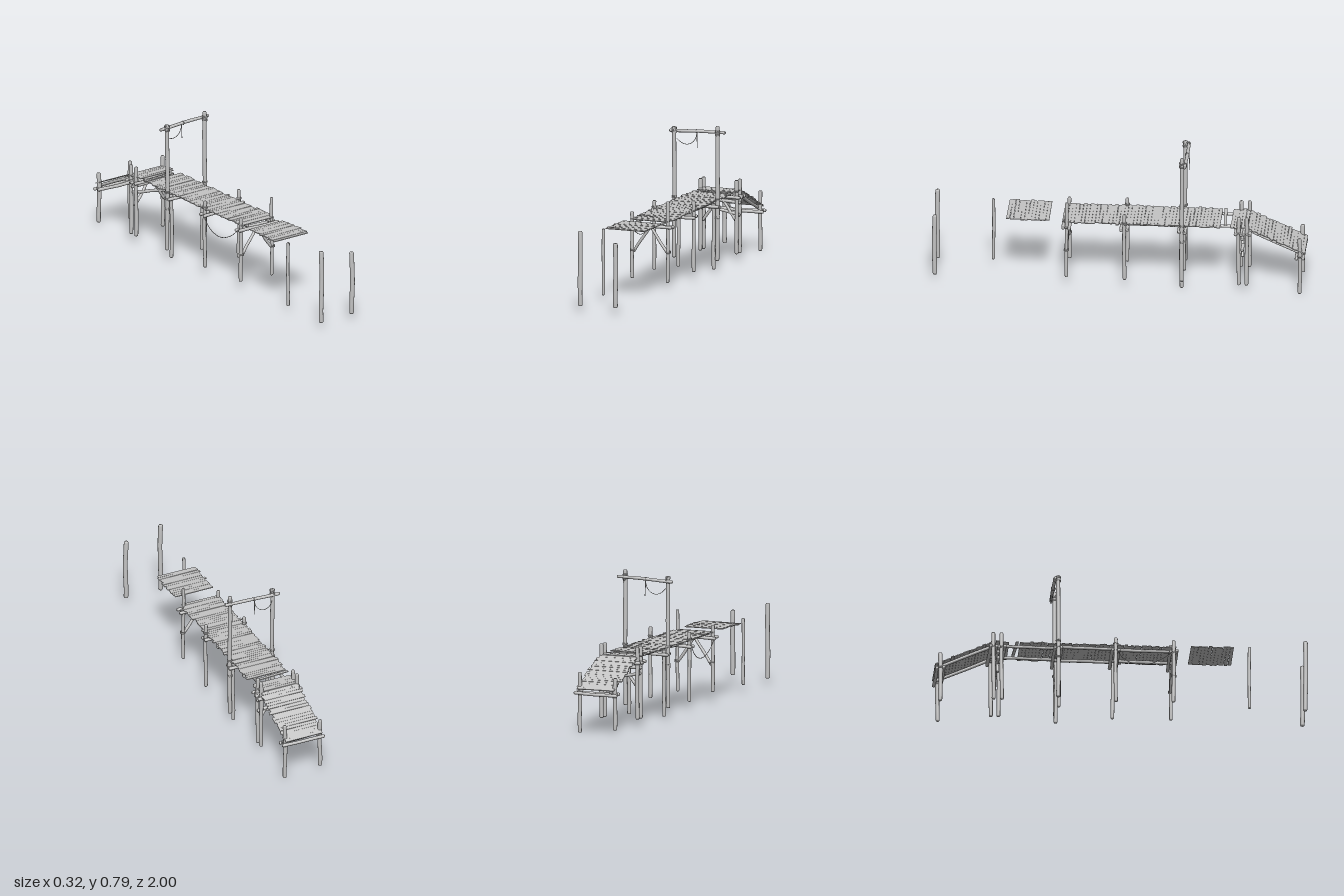
import * as THREE from 'three';

const V = (x, y, z) => new THREE.Vector3(x, y, z);

export function createModel() {
  const root = new THREE.Group();
  root.name = 'ruinedJetty';
  const wood = new THREE.MeshStandardMaterial({ color: 0xc4c4c4 });
  wood.name = 'weathered grey';

  let seed = 7;
  const rnd = (a = -1, b = 1) => {
    seed = (seed * 16807) % 2147483647;
    return a + (b - a) * (seed / 2147483647);
  };

  const add = (name, geometry, parent = root) => {
    const mesh = new THREE.Mesh(geometry, wood);
    mesh.name = name;
    parent.add(mesh);
    return mesh;
  };
  const group = (name) => {
    const g = new THREE.Group();
    g.name = name;
    root.add(g);
    return g;
  };

  // Slightly crooked log with rounded ends, running from a to b
  function log(name, a, b, r, parent) {
    const len = a.distanceTo(b);
    const pts = [[0, 0], [r * 0.75, 0], [r, r * 0.5]];
    for (let i = 1; i < 6; i++) pts.push([r * rnd(0.94, 1.06), (len * i) / 6]);
    pts.push([r, len - r * 0.5], [r * 0.75, len], [0, len]);
    const g = new THREE.LatheGeometry(pts.map((p) => new THREE.Vector2(p[0], p[1])), 12);
    const pos = g.attributes.position;
    const bend = r * 0.15, phase = rnd(0, 6);
    for (let i = 0; i < pos.count; i++) {
      const t = pos.getY(i) / len;
      pos.setX(i, pos.getX(i) + bend * Math.sin(t * 7 + phase));
      pos.setZ(i, pos.getZ(i) + bend * Math.cos(t * 5 + phase));
    }
    const mesh = add(name, g, parent);
    mesh.position.copy(a);
    mesh.quaternion.setFromUnitVectors(V(0, 1, 0), b.clone().sub(a).normalize());
    return mesh;
  }
  const post = (x, z, y0, y1, r, parent) => log('post', V(x, y0, z), V(x, y1, z), r, parent);

  // Rope wound three times round a post
  function lashing(x, y, z, r, parent) {
    for (let i = -1; i <= 1; i++) {
      const ring = add('lashing', new THREE.TorusGeometry(r, 0.002, 5, 14), parent);
      ring.position.set(x, y + i * 0.0036, z);
      ring.rotation.set(Math.PI / 2 + rnd() * 0.12, rnd() * 0.12, 0);
    }
  }
  function rope(name, points, r, parent) {
    add(name, new THREE.TubeGeometry(new THREE.CatmullRomCurve3(points), 28, r, 6), parent);
  }

  // Cross beams clamped on both sides of a pair of posts
  function clampBeams(z, y, half, parent, gap = 0.017) {
    for (const s of [-1, 1]) {
      log('crossBeam', V(-half, y + rnd() * 0.004, z + s * gap), V(half, y + rnd() * 0.004, z + s * gap), 0.009, parent);
    }
  }
  function braces(z, parent) {
    for (const s of [-1, 1]) log('brace', V(s * 0.1, 0.205, z), V(s * 0.004, 0.343, z), 0.008, parent);
  }

  // Lone posts beyond the broken end
  const lone = group('lonePosts');
  post(-0.105, 0.985, 0.035, 0.44, 0.0125, lone);
  post(0.1, 0.985, 0.04, 0.39, 0.0125, lone);
  post(-0.1, 0.685, 0.04, 0.4, 0.0085, lone);

  // Broken end trestle
  const front = group('frontTrestle');
  post(-0.107, 0.28, 0.06, 0.42, 0.01, front);
  post(0.1, 0.28, 0.05, 0.49, 0.009, front);
  clampBeams(0.28, 0.352, 0.13, front);
  braces(0.28, front);
  for (const s of [-1, 1]) {
    lashing(s * 0.103, 0.35, 0.28, 0.013, front);
    lashing(s * 0.103, 0.215, 0.28, 0.013, front);
  }

  // Middle trestle
  const mid = group('middleTrestle');
  post(-0.112, -0.03, 0.05, 0.425, 0.01, mid);
  post(0.117, -0.03, 0.055, 0.44, 0.01, mid);
  clampBeams(-0.03, 0.352, 0.132, mid);
  lashing(-0.112, 0.39, -0.03, 0.012, mid);
  lashing(0.117, 0.39, -0.03, 0.012, mid);

  // Tall gate with top bar
  const gate = group('gate');
  for (const [x, top] of [[-0.128, 0.77], [0.123, 0.79]]) {
    post(x, -0.338, 0.06, top, 0.011, gate);
    post(Math.sign(x) * 0.102, -0.334, 0.012, 0.37, 0.01, gate);
    for (const y of [0.295, 0.352, 0.39, 0.742, 0.762]) lashing(x, y, -0.338, 0.0125, gate);
    // Cross lashing at the bar
    const ring = add('barLashing', new THREE.TorusGeometry(0.017, 0.003, 6, 16), gate);
    ring.scale.set(1, 1, 1);
    ring.position.set(x, 0.75, -0.346);
    ring.rotation.y = Math.PI / 2;
  }
  log('topBar', V(-0.163, 0.744, -0.357), V(0.161, 0.755, -0.357), 0.0085, gate);
  clampBeams(-0.338, 0.352, 0.135, gate);
  rope('saggingRope', [V(-0.12, 0.705, -0.35), V(-0.1, 0.683, -0.362), V(-0.07, 0.673, -0.366),
    V(-0.037, 0.684, -0.366), V(-0.016, 0.712, -0.367), V(-0.008, 0.756, -0.367)], 0.0016, gate);
  rope('hangingRope', [V(-0.008, 0.758, -0.367), V(-0.009, 0.71, -0.368), V(-0.007, 0.66, -0.368)], 0.002, gate);
  const knot = add('ropeKnot', new THREE.TorusGeometry(0.0095, 0.002, 5, 14), gate);
  knot.position.set(-0.008, 0.75, -0.357);
  knot.rotation.y = Math.PI / 2;

  // Double trestle where the ramp begins
  const back = group('rearTrestle');
  for (const z of [-0.64, -0.683]) {
    post(-0.106, z, 0.045, 0.435, 0.0105, back);
    post(0.104, z, 0.04, 0.44, 0.0105, back);
    clampBeams(z, 0.35, 0.13, back, 0.016);
    for (const s of [-1, 1]) lashing(s * 0.105, 0.35, z, 0.013, back);
  }
  log('lowerBeam', V(-0.12, 0.322, -0.66), V(0.12, 0.318, -0.66), 0.009, back);
  log('slantedBeam', V(-0.115, 0.29, -0.66), V(0.115, 0.25, -0.66), 0.009, back);
  braces(-0.66, back);

  // Foot of the ramp
  const foot = group('rampTrestle');
  post(-0.106, -0.967, 0.025, 0.305, 0.0115, foot);
  post(0.1, -0.967, 0, 0.325, 0.0105, foot);
  clampBeams(-0.967, 0.214, 0.125, foot, 0.018);
  for (const s of [-1, 1]) lashing(s * 0.103, 0.22, -0.967, 0.014, foot);

  // Long stringers under deck and ramp
  const stringers = group('stringers');
  for (const s of [-1, 1]) {
    const cuts = [0.3, -0.045, -0.35, -0.69];
    for (let i = 0; i < 3; i++) {
      const x = s * (0.072 + (i % 2) * 0.012);
      log('stringer', V(x, 0.371, cuts[i]), V(x, 0.371, cuts[i + 1] - 0.01), 0.008, stringers);
    }
    log('rampStringer', V(s * 0.085, 0.364, -0.685), V(s * 0.085, 0.226, -0.985), 0.009, stringers);
  }

  // Rope hanging between two side posts
  rope('sideRope', [V(-0.12, 0.352, 0.272), V(-0.122, 0.31, 0.225), V(-0.122, 0.275, 0.155),
    V(-0.122, 0.267, 0.105), V(-0.122, 0.28, 0.045), V(-0.122, 0.31, 0.003), V(-0.122, 0.352, -0.025)], 0.0018);

  // Row of ragged planks from z0 to z1, sloping from y0 to y1
  function planks(name, z0, z1, y0, y1, cx, skip = []) {
    const g = group(name);
    const run = Math.hypot(z1 - z0, y1 - y0);
    const count = Math.round(run / 0.0185);
    const pitch = Math.atan2(y1 - y0, Math.abs(z1 - z0));
    for (let i = 0; i < count; i++) {
      const t = (i + 0.5) / count;
      const z = z0 + (z1 - z0) * t;
      if (skip.some(([a, b]) => z > a && z < b)) continue;
      const geo = new THREE.BoxGeometry(0.225 + rnd() * 0.009, 0.0045, (run / count) * rnd(0.9, 1.0));
      const pos = geo.attributes.position;
      // Skew the sawn ends and taper the width
      const skew = rnd() * 0.15, taper = rnd() * 0.008;
      for (let k = 0; k < pos.count; k++) {
        const x = pos.getX(k), w = pos.getZ(k);
        pos.setX(k, x + w * skew);
        pos.setZ(k, w * (1 + taper * x * 40));
      }
      geo.computeVertexNormals();
      const mesh = add('plank', geo, g);
      mesh.position.set(cx + rnd() * 0.006, y0 + (y1 - y0) * t + rnd() * 0.0008, z);
      mesh.rotation.set(pitch, rnd() * 0.01, rnd() * 0.006);
    }
    return g;
  }
  planks('brokenDeck', 0.602, 0.372, 0.385, 0.385, -0.008);
  const deck = planks('mainDeck', 0.295, -0.69, 0.381, 0.381, 0, [[-0.59, -0.538]]);
  planks('rampDeck', -0.69, -0.995, 0.379, 0.238, 0);

  // Loose plank lying askew in the deck gap
  const loose = add('loosePlank', new THREE.BoxGeometry(0.2, 0.0045, 0.016), deck);
  loose.position.set(-0.015, 0.381, -0.562);
  loose.rotation.y = 0.06;

  return root;
}
